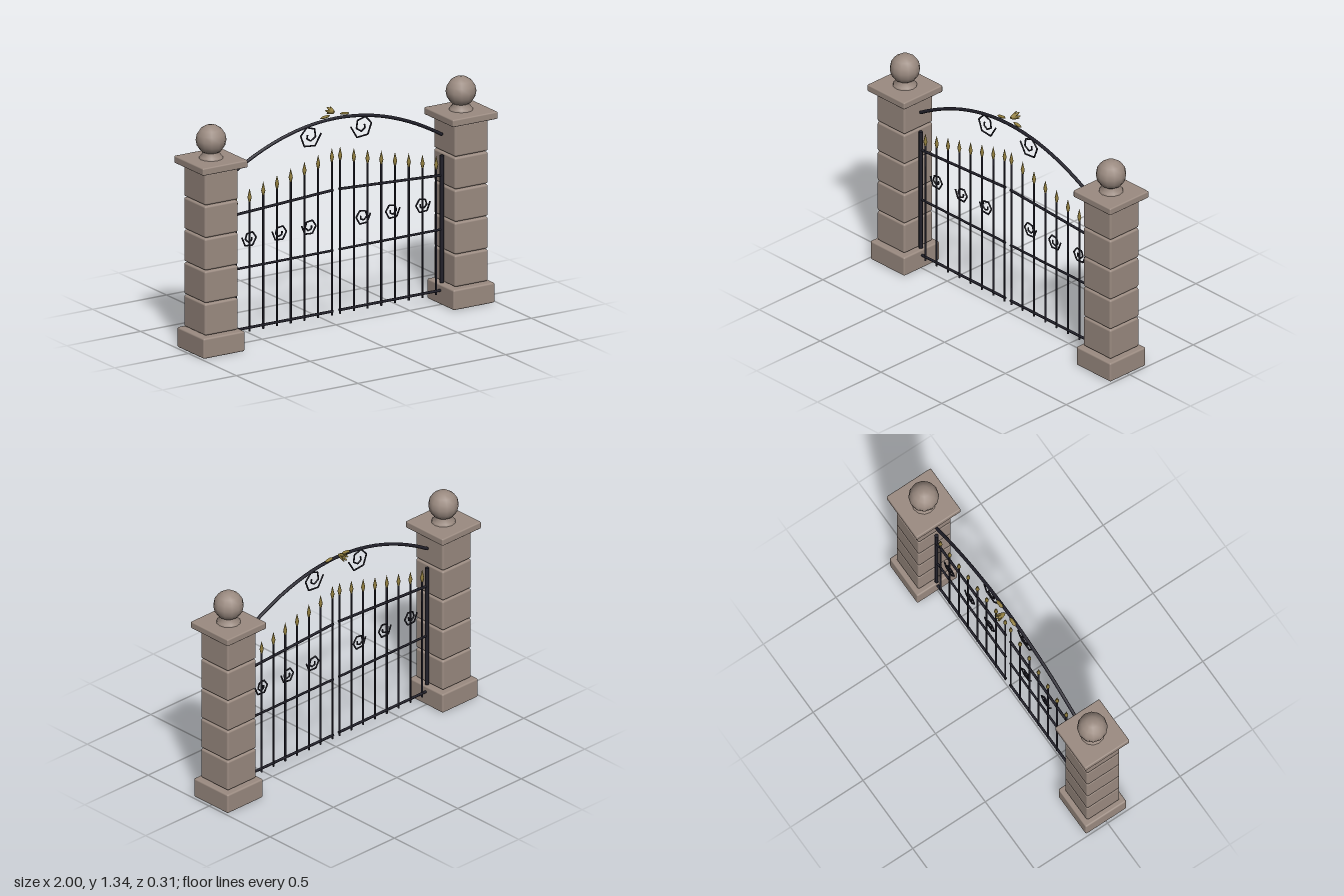
import * as THREE from 'three';
import { RoundedBoxGeometry } from 'three/addons/geometries/RoundedBoxGeometry.js';

const mat = (name, color, side = THREE.FrontSide) => {
  const m = new THREE.MeshStandardMaterial({ color, side });
  m.name = name;
  return m;
};

export function createModel() {
  const stone = mat('stone', 0x9b8b81);
  const iron = mat('iron', 0x22212b, THREE.DoubleSide);
  const gold = mat('gold', 0x94803f);
  const root = new THREE.Group();
  root.name = 'gateway';

  const group = (name, parent) => {
    const g = new THREE.Group();
    g.name = name;
    parent.add(g);
    return g;
  };
  const add = (parent, name, geo, material, x = 0, y = 0, z = 0) => {
    const m = new THREE.Mesh(geo, material);
    m.name = name;
    m.position.set(x, y, z);
    parent.add(m);
    return m;
  };
  // Round bar between two points in the gate plane
  const rod = (parent, name, x1, y1, x2, y2, r, sides = 6) => {
    const len = Math.hypot(x2 - x1, y2 - y1);
    const m = add(parent, name, new THREE.CylinderGeometry(r, r, len, sides), iron, (x1 + x2) / 2, (y1 + y2) / 2);
    m.rotation.z = Math.atan2(y2 - y1, x2 - x1) - Math.PI / 2;
    return m;
  };
  // Angular spiral; dir -1 starts on the left and winds clockwise, +1 is its mirror
  const scroll = (parent, name, cx, cy, dir, r0, r1, start) => {
    const g = group(name, parent);
    const steps = 9;
    const pt = (i) => {
      const a = start - i * 1.1;
      const r = r0 + (r1 - r0) * Math.pow(i / steps, 1.25);
      return [cx - dir * r * Math.cos(a), cy + r * Math.sin(a)];
    };
    for (let i = 0; i < steps; i++) rod(g, 'scrollSegment', ...pt(i), ...pt(i + 1), 0.005, 5);
  };

  // Spearhead and finial profiles
  const spear = new THREE.LatheGeometry(
    [[0, 0], [0.006, 0], [0.012, 0.026], [0, 0.08]].map((p) => new THREE.Vector2(...p)), 6);
  const neck = new THREE.LatheGeometry(
    [[0.07, 0], [0.066, 0.012], [0.046, 0.035], [0.052, 0.06]].map((p) => new THREE.Vector2(...p)), 12);

  for (const s of [-1, 1]) {
    const side = s > 0 ? 'left' : 'right';

    // Stone pillar: plinth, five blocks with open joints, cap and ball finial
    const pillar = group(side + 'Pillar', root);
    pillar.position.x = s * 0.847;
    add(pillar, 'plinth', new RoundedBoxGeometry(0.28, 0.12, 0.28, 2, 0.01), stone, 0, 0.06);
    for (let i = 0; i < 5; i++) {
      add(pillar, 'block', new RoundedBoxGeometry(0.226, 0.189, 0.226, 2, 0.012), stone, 0, 0.221 + i * 0.194);
    }
    add(pillar, 'cap', new RoundedBoxGeometry(0.305, 0.044, 0.305, 2, 0.008), stone, 0, 1.118);
    add(pillar, 'finialNeck', neck, stone, 0, 1.139);
    add(pillar, 'finialBall', new THREE.SphereGeometry(0.088, 12, 8), stone, 0, 1.25);

    // Gate leaf: hinge post, rails, spear-topped bars and scrolls
    const leaf = group(side + 'GateLeaf', root);
    rod(leaf, 'hingePost', s * 0.717, 0.13, s * 0.717, 0.888, 0.012, 8);
    rod(leaf, 'bottomRail', s * 0.02, 0.085, s * 0.712, 0.085, 0.008);
    rod(leaf, 'middleRail', s * 0.02, 0.447, s * 0.712, 0.447, 0.007);
    rod(leaf, 'topRail', s * 0.02, 0.807, s * 0.712, 0.77, 0.008);
    for (let i = 0; i < 8; i++) {
      const x = s * (0.028 + i * 0.093);
      const top = 0.98 - i * 0.0238;
      rod(leaf, 'bar', x, 0.062, x, top, 0.006);
      add(leaf, 'spearhead', spear, gold, x, top - 0.002);
    }
    for (const x of [0.18, 0.38, 0.585]) scroll(leaf, 'gateScroll', s * x, 0.617, -s, 0.054, 0.014, Math.PI + 0.2 - Math.PI);

    // Scroll and gilded leaf on the overhead arch
    scroll(root, side + 'ArchScroll', s * 0.178, 1.157, s, 0.078, 0.016, 0.05);
    const foil = add(root, side + 'ArchLeaf', new THREE.SphereGeometry(1, 6, 4), gold, s * 0.066, 1.246, -0.012);
    foil.scale.set(0.034, 0.008, 0.012);
    foil.rotation.z = -s * 0.12;
  }

  // Overhead arch
  const archCurve = new THREE.QuadraticBezierCurve3(
    new THREE.Vector3(-0.718, 1.012, 0), new THREE.Vector3(0, 1.452, 0), new THREE.Vector3(0.718, 1.012, 0));
  add(root, 'arch', new THREE.TubeGeometry(archCurve, 24, 0.01, 8), iron);

  // Gilded flower on the arch, opening toward the back
  const flower = group('flower', root);
  flower.position.set(0, 1.26, -0.016);
  flower.rotation.x = -Math.PI / 2;
  add(flower, 'flowerHeart', new THREE.ConeGeometry(0.012, 0.05, 6), gold, 0, 0.025).rotation.x = Math.PI;
  for (let i = 0; i < 6; i++) {
    const spoke = group('petalSpoke', flower);
    spoke.rotation.y = (i * Math.PI) / 3;
    const petal = add(spoke, 'petal', new THREE.SphereGeometry(1, 6, 4), gold, 0.013, 0.034);
    petal.scale.set(0.005, 0.032, 0.009);
    petal.rotation.z = -0.3;
  }
  return root;
}
